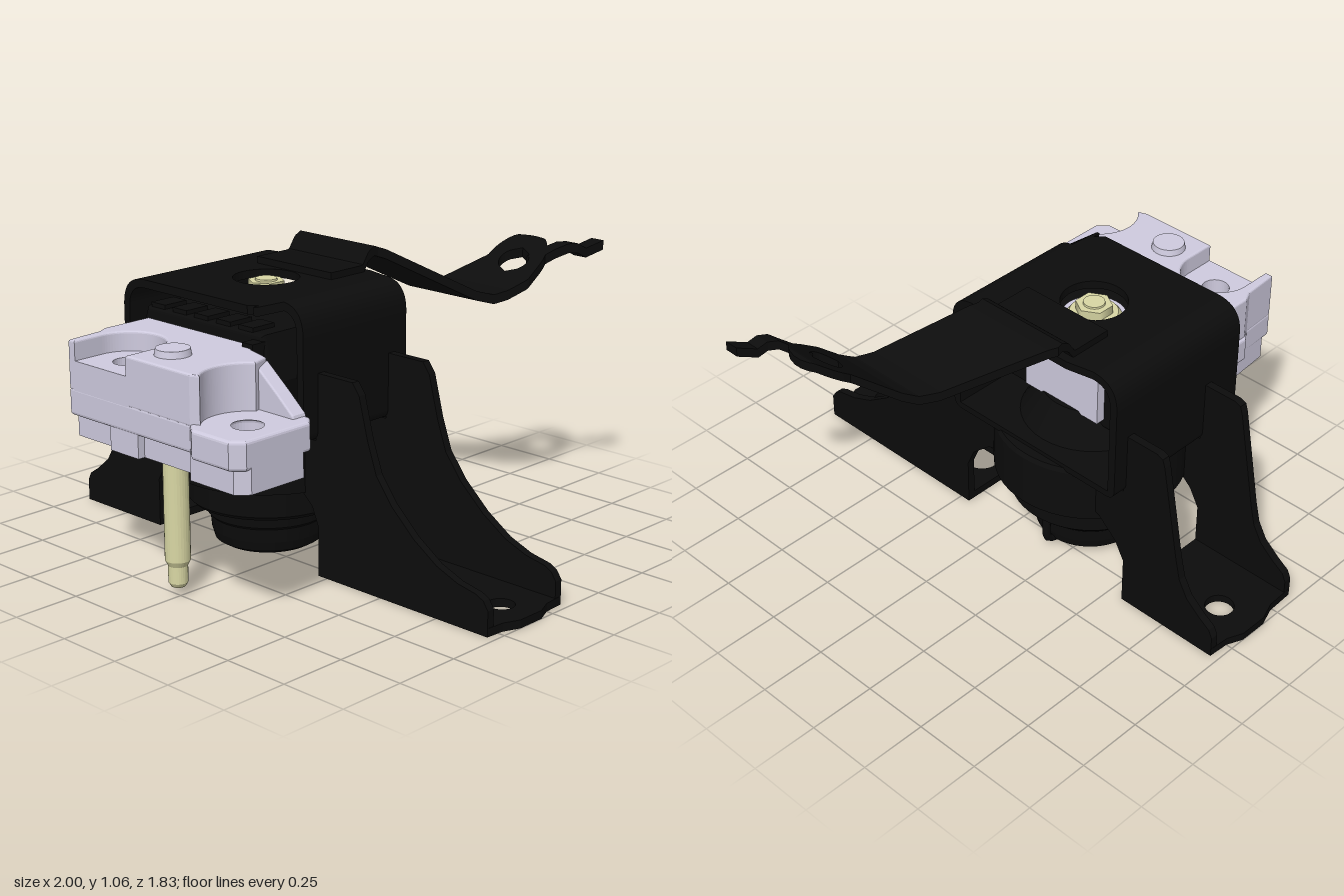
import * as THREE from 'three';

const mat = (color) => new THREE.MeshStandardMaterial({ color, side: THREE.DoubleSide });
const V = (x, y) => new THREE.Vector2(x, y);

export function createModel() {
  const root = new THREE.Group();
  const black = mat(0x0c0c0c), alloy = mat(0xcfcbdf), brass = mat(0xd9d7a4);
  const CX = -0.175, CZ = 0.165; // axis of the round mount

  const add = (name, geo, material, x = 0, y = 0, z = 0) => {
    const m = new THREE.Mesh(geo, material);
    m.name = name;
    m.position.set(x, y, z);
    root.add(m);
    return m;
  };
  const hole = (x, y, r) => new THREE.Path().absarc(x, y, r, 0, Math.PI * 2, true);
  const extrude = (shape, depth, bevel = 0) => {
    const g = new THREE.ExtrudeGeometry(shape, {
      depth: depth - 2 * bevel, bevelEnabled: bevel > 0, bevelSize: bevel,
      bevelThickness: bevel, bevelOffset: -bevel, bevelSegments: 3, curveSegments: 20,
    });
    return g.translate(0, 0, bevel);
  };
  // horizontal slab from a plan outline in (x, z)
  const slab = (pts, holes, y0, y1, bevel = 0) => {
    const s = new THREE.Shape(pts.map(([x, z]) => V(x, -z)));
    s.holes = holes;
    return extrude(s, y1 - y0, bevel).rotateX(-Math.PI / 2).translate(0, y0, 0);
  };
  // upright plate from an outline in (x, y)
  const plate = (pts, z0, z1, bevel = 0) =>
    extrude(new THREE.Shape(pts.map(([x, y]) => V(x, y))), z1 - z0, bevel).translate(0, 0, z0);
  const cyl = (r0, r1, h, n = 40) => new THREE.CylinderGeometry(r1, r0, h, n);

  // sheet strip: each row is [x left, x right, y, z]
  const strip = (rows, t) => {
    const pos = [], idx = [];
    rows.forEach(([a, b, y, z], i) => {
      pos.push(a, y, z, b, y, z, b, y - t, z, a, y - t, z);
      if (!i) return;
      for (let k = 0; k < 4; k++) {
        const p = 4 * (i - 1) + k, q = 4 * (i - 1) + (k + 1) % 4;
        idx.push(p, q, q + 4, p, q + 4, p + 4);
      }
    });
    const e = 4 * (rows.length - 1);
    idx.push(0, 2, 1, 0, 3, 2, e, e + 1, e + 2, e, e + 2, e + 3);
    const g = new THREE.BufferGeometry();
    g.setAttribute('position', new THREE.Float32BufferAttribute(pos, 3));
    g.setIndex(idx);
    const flat = g.toNonIndexed();
    flat.computeVertexNormals();
    return flat;
  };

  // Round mount: stepped cup
  const cup = [[0, 0.01], [0.17, 0.01], [0.195, 0.025], [0.205, 0.06], [0.21, 0.11], [0.22, 0.12], [0.225, 0.17],
    [0.275, 0.17], [0.29, 0.185], [0.29, 0.29], [0.35, 0.29], [0.35, 0.485], [0.34, 0.5], [0, 0.5]];
  const cupGeo = new THREE.LatheGeometry(cup.map(([r, y]) => V(r, y)), 56).toNonIndexed();
  cupGeo.computeVertexNormals();
  add('mountCup', cupGeo, black, CX, 0, CZ);
  add('rubberCone', cyl(0.27, 0.18, 0.14), black, CX, 0.56, CZ);
  const tabPath = new THREE.CatmullRomCurve3([[0.3, -0.06], [0.15, -0.06], [0.04, -0.055], [0.015, 0]]
    .map(([y, z]) => new THREE.Vector3(CX, y, z)));
  add('cupTab', new THREE.TubeGeometry(tabPath, 16, 0.015, 8), black);

  // Sheet hoop over the mount, open front and back
  const rounded = (x0, x1, y0, y1, r, P) => {
    const p = new P();
    p.moveTo(x0 + r, y0).lineTo(x1 - r, y0).quadraticCurveTo(x1, y0, x1, y0 + r);
    p.lineTo(x1, y1 - r).quadraticCurveTo(x1, y1, x1 - r, y1).lineTo(x0 + r, y1);
    p.quadraticCurveTo(x0, y1, x0, y1 - r).lineTo(x0, y0 + r).quadraticCurveTo(x0, y0, x0 + r, y0);
    return p;
  };
  // walls and floor, with the top left to a separate drilled plate
  const T = 0.03, X0 = -0.56, X1 = 0.21, Y1 = 0.975;
  const wall = new THREE.Shape();
  wall.moveTo(X0 + 0.11, Y1).quadraticCurveTo(X0, Y1, X0, Y1 - 0.11).lineTo(X0, 0.53);
  wall.quadraticCurveTo(X0, 0.49, X0 + 0.04, 0.49).lineTo(X1 - 0.04, 0.49).quadraticCurveTo(X1, 0.49, X1, 0.53);
  wall.lineTo(X1, Y1 - 0.11).quadraticCurveTo(X1, Y1, X1 - 0.11, Y1).lineTo(X1 - 0.11, Y1 - T);
  wall.quadraticCurveTo(X1 - T, Y1 - T, X1 - T, Y1 - 0.11).lineTo(X1 - T, 0.515).lineTo(X0 + T, 0.515);
  wall.lineTo(X0 + T, Y1 - 0.11).quadraticCurveTo(X0 + T, Y1 - T, X0 + 0.11, Y1 - T).closePath();
  const wallGeo = extrude(wall, 0.63).translate(0, 0, -0.14);
  const wp = wallGeo.attributes.position; // right wall stops short at the front
  for (let i = 0; i < wp.count; i++) if (wp.getX(i) > 0.12 && wp.getZ(i) > 0.37) wp.setZ(i, 0.37);
  add('hoopWalls', wallGeo, black);
  add('hoopTop', slab([[X0 + 0.11, -0.14], [-0.35, -0.16], [0.02, -0.16], [0.1, -0.14], [0.1, 0.46], [0.07, 0.49],
    [X0 + 0.11, 0.49]], [hole(CX, -CZ, 0.118)], Y1 - T, Y1), black);

  // Rubber jacket and alloy core inside the hoop
  add('rubberJacket', plate([[-0.45, 0.58], [0.12, 0.58], [0.17, 0.72], [0.13, 0.88], [-0.45, 0.88], [-0.5, 0.74]],
    0.04, 0.48, 0.015), black);
  for (let i = 0; i < 5; i++)
    add('rubberRib', new THREE.BoxGeometry(0.07, 0.02, 0.1), black, -0.4 + i * 0.11, 0.885, 0.42);
  add('core', new THREE.BoxGeometry(0.34, 0.2, 0.55), alloy, CX, 0.72, 0.28);
  add('washer', cyl(0.115, 0.115, 0.03), alloy, CX, 0.9, CZ);
  add('nutFlange', cyl(0.1, 0.085, 0.02), brass, CX, 0.923, CZ);
  add('hexNut', cyl(0.066, 0.066, 0.04, 6), brass, CX, 0.945, CZ);
  add('studEnd', cyl(0.042, 0.038, 0.03, 24), brass, CX, 0.957, CZ);

  // Side legs: base plate with two upright gussets each
  const legs = [
    { name: 'right', z1: 0.35, foot: [[-0.56, -0.08], [-0.97, -0.08], [-0.975, 0], [-1, 0.06], [-1, 0.17], [-0.975, 0.24],
      [-0.97, 0.35], [-0.56, 0.35]], holes: [hole(-0.85, -0.11, 0.052)],
    side: [[-0.56, 0], [-0.97, 0], [-0.97, 0.08], [-0.955, 0.11], [-0.91, 0.14], [-0.85, 0.19], [-0.815, 0.25], [-0.795, 0.33],
      [-0.725, 0.69], [-0.715, 0.72], [-0.69, 0.73], [-0.55, 0.73], [-0.55, 0.49], [-0.36, 0.49], [-0.36, 0.35],
      [-0.44, 0.32], [-0.52, 0.25], [-0.56, 0.18]] },
    { name: 'left', z1: 0.30, foot: [[0.21, -0.08], [0.97, -0.08], [0.975, 0], [1, 0.06], [1, 0.17], [0.975, 0.23],
      [0.97, 0.3], [0.21, 0.3]], holes: [hole(0.87, -0.11, 0.047)],
    side: [[0.21, 0], [0.97, 0], [0.97, 0.09], [0.95, 0.12], [0.92, 0.135], [0.84, 0.15], [0.75, 0.185], [0.65, 0.25],
      [0.55, 0.34], [0.48, 0.43], [0.44, 0.54], [0.4, 0.69], [0.37, 0.73], [0.2, 0.73], [0.2, 0.49], [0, 0.49], [0, 0.35],
      [0.1, 0.32], [0.18, 0.25], [0.21, 0.18]] },
  ];
  const slot = new THREE.Path();
  slot.absarc(0.33, -0.11, 0.067, Math.PI / 2, Math.PI * 1.5, false);
  slot.absarc(0.465, -0.11, 0.067, -Math.PI / 2, Math.PI / 2, false);
  legs[1].holes.push(slot);
  for (const l of legs) {
    add(l.name + 'FootPlate', slab(l.foot, l.holes, 0, 0.03), black);
    for (const z of [-0.08, l.z1 - T]) add(l.name + 'Gusset', plate(l.side, z, z + T), black);
  }

  // Bent strap with an eye, reaching to the rear
  const bend = [[0.04, 1], [-0.12, 1], [-0.15, 1.045], [-0.18, 1.06], [-0.22, 1.045], [-0.48, 0.88], [-0.53, 0.865],
    [-0.57, 0.88], [-0.79, 1.03], [-0.82, 1.03], [-0.85, 1.01], [-0.92, 1.035]];
  const height = (z) => {
    let i = 0;
    while (i < bend.length - 2 && z < bend[i + 1][0]) i++;
    const [a, ya] = bend[i], [b, yb] = bend[i + 1];
    return ya + (yb - ya) * (z - a) / (b - a);
  };
  const EX = 0.24, EZ = -0.69, ER = 0.12;
  const arc = (z, r) => Math.sqrt(Math.max(0, r * r - (z - EZ) ** 2));
  const leftEdge = (z) => z > -0.2 ? -0.35 : z > EZ ? -0.35 + (-0.2 - z) * 0.96 : EX - arc(z, ER);
  const rightEdge = (z) => z > -0.2 ? 0.02 : z > EZ ? Math.min(0.02 + (-0.2 - z) * 0.8, EX + ER) : EX + arc(z, ER);
  const halves = [[], []];
  for (let i = 0; i <= 100; i++) {
    const z = 0.04 - 0.849 * i / 100, y = height(z), l = leftEdge(z), r = rightEdge(z);
    const inEye = Math.abs(z - EZ) < 0.045, mid = Math.abs(z - EZ) < 0.15 ? EX : (l + r) / 2;
    const h = inEye ? 0.062 * Math.sqrt(1 - ((z - EZ) / 0.045) ** 2) : 0;
    halves[0].push([l, mid - h, y, z]);
    halves[1].push([mid + h, r, y, z]);
  }
  halves.forEach((rows) => add('strap', strip(rows, 0.035), black));
  const tail = [[0.31, -0.71], [0.35, -0.76], [0.385, -0.79], [0.405, -0.82], [0.42, -0.85], [0.435, -0.885], [0.448, -0.915]];
  add('strapTail', strip(tail.map(([x, z]) => [x - 0.028, x + 0.026, height(z), z]), 0.035), black);

  // Alloy bracket in front: layered casting with two bolt seats
  const seatL = [-0.24, 0.75], seatR = [0.34, 0.75];
  const boltHoles = () => [hole(seatL[0], -seatL[1], 0.05), hole(seatR[0], -seatR[1], 0.066)];
  add('bracketBase', slab([[-0.42, 0.62], [0.46, 0.62], [0.46, 0.85], [0.42, 0.89], [0.22, 0.89], [0.17, 0.84], [-0.4, 0.84]],
    boltHoles(), 0.5, 0.6), alloy);
  add('bracketBody', slab([[-0.44, 0.49], [0.09, 0.49], [0.13, 0.53], [0.18, 0.55], [0.42, 0.55], [0.46, 0.59], [0.46, 0.87],
    [0.42, 0.91], [0.25, 0.91], [0.2, 0.87], [-0.4, 0.87], [-0.41, 0.73], [-0.44, 0.69]], boltHoles(), 0.58, 0.68, 0.012), alloy);
  // upper body, scooped around the left seat and beside the right seat
  const upper = new THREE.Shape();
  upper.moveTo(-0.43, -0.49).lineTo(0.09, -0.49).lineTo(0.13, -0.53).lineTo(0.23, -0.56);
  upper.absarc(seatR[0], -seatR[1], 0.15, Math.PI * 0.7, Math.PI * 1.25, false);
  upper.lineTo(0.2, -0.87).lineTo(-0.11, -0.87).lineTo(-0.11, -0.75);
  upper.absarc(seatL[0], -seatL[1], 0.13, 0, Math.PI, false);
  upper.lineTo(-0.37, -0.87).lineTo(-0.4, -0.87).lineTo(-0.41, -0.73).lineTo(-0.43, -0.69).closePath();
  add('bracketUpper', extrude(upper, 0.175, 0.008).rotateX(-Math.PI / 2).translate(0, 0.67, 0), alloy);
  add('leftSeat', slab([[-0.38, 0.6], [-0.1, 0.6], [-0.1, 0.87], [-0.38, 0.87]],
    [hole(seatL[0], -seatL[1], 0.05)], 0.67, 0.775), alloy);
  add('rampWall', plate([[0.12, 0.66], [0.41, 0.66], [0.4, 0.69], [0.33, 0.75], [0.23, 0.83], [0.12, 0.84]], 0.55, 0.61, 0.006), alloy);
  add('frontRib', new THREE.BoxGeometry(0.14, 0.12, 0.03), alloy, -0.13, 0.56, 0.852);
  add('boss', cyl(0.064, 0.058, 0.03), alloy, -0.01, 0.853, 0.75);

  // Threaded stud below the bracket
  const stud = [[0, 0.035], [0.025, 0.035], [0.034, 0.05], [0.034, 0.11], [0.044, 0.13], [0.044, 0.52], [0, 0.52]];
  const studGeo = new THREE.LatheGeometry(stud.map(([r, y]) => V(r, y)), 28).toNonIndexed();
  studGeo.computeVertexNormals();
  add('stud', studGeo, brass, -0.01, 0, 0.75);

  // Side stop and small clip at the hoop's front corner
  add('sideStop', new THREE.BoxGeometry(0.05, 0.27, 0.16), black, 0.11, 0.725, 0.45);
  const clip = add('clip', new THREE.BoxGeometry(0.17, 0.05, 0.015), black, 0.19, 0.53, 0.465);
  clip.rotation.y = -0.7;
  return root;
}
